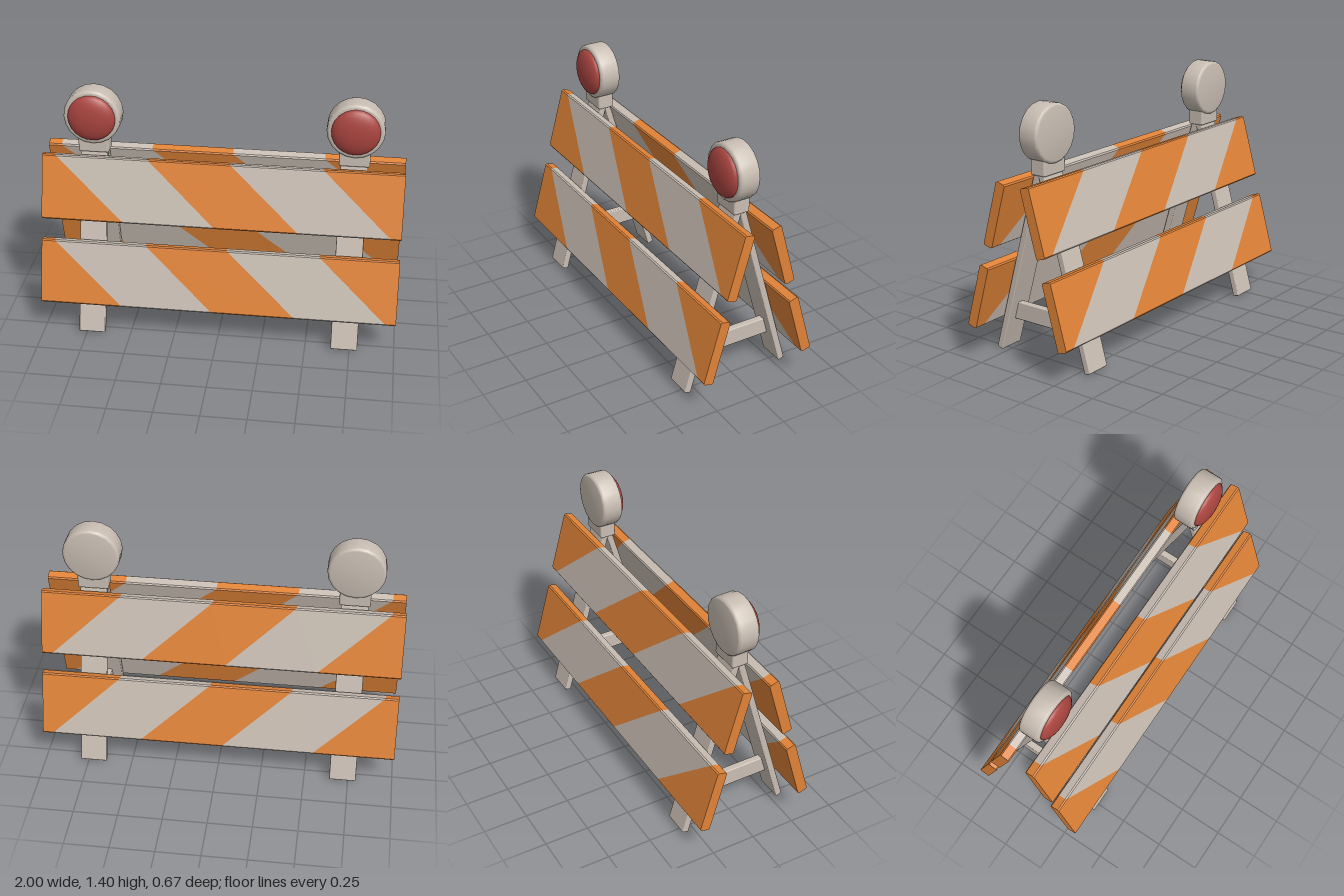
import * as THREE from 'three';
import { toCreasedNormals } from 'three/addons/utils/BufferGeometryUtils.js';
import { RoundedBoxGeometry } from 'three/addons/geometries/RoundedBoxGeometry.js';

const material = (name, color) => {
  const m = new THREE.MeshStandardMaterial({ color });
  m.name = name;
  return m;
};

const TILT = 0.276;      // lean of the legs and boards
const LEG_X = 0.72;
const BOARD_H = 0.368, BOARD_T = 0.058, BEVEL = 0.007;

// Stripe edges along a board: x at the top edge and at the bottom edge
const EDGES = [[-1, -1], [-0.926, -0.537], [-0.41, -0.025], [0.046, 0.439], [0.557, 0.946], [1, 1]];

// Board cross-section (height, depth) with small chamfers
const H = BOARD_H / 2, T = BOARD_T / 2;
const SECTION = [
  [H, T - BEVEL], [H - BEVEL, T], [-H + BEVEL, T], [-H, T - BEVEL],
  [-H, -T + BEVEL], [-H + BEVEL, -T], [H - BEVEL, -T], [H, -T + BEVEL],
];

// One slanted colour band of a board, wrapped around the cross-section
function bandGeometry(i) {
  const at = ([top, bottom], v) => THREE.MathUtils.lerp(bottom, top, (v + H) / BOARD_H);
  const pos = [];
  const n = SECTION.length;
  for (let k = 0; k < n; k++) {
    const [v0, w0] = SECTION[k], [v1, w1] = SECTION[(k + 1) % n];
    const a = [at(EDGES[i], v0), v0, w0], b = [at(EDGES[i], v1), v1, w1];
    const c = [at(EDGES[i + 1], v1), v1, w1], d = [at(EDGES[i + 1], v0), v0, w0];
    pos.push(...a, ...b, ...c, ...a, ...c, ...d);
    // End caps on the outermost bands
    if (i === 0) pos.push(-1, 0, 0, ...b, ...a);
    if (i === EDGES.length - 2) pos.push(1, 0, 0, ...d, ...c);
  }
  const g = new THREE.BufferGeometry();
  g.setAttribute('position', new THREE.Float32BufferAttribute(pos, 3));
  g.computeVertexNormals();
  return g;
}

export function createModel() {
  const orange = material('orange paint', 0xe08338);
  const grey = material('warm grey', 0xc9beb3);
  const red = material('red lens', 0xab4540);

  const model = new THREE.Group();
  model.name = 'barricade';

  const add = (parent, name, geometry, mat, x = 0, y = 0, z = 0) => {
    const mesh = new THREE.Mesh(geometry, mat);
    mesh.name = name;
    mesh.position.set(x, y, z);
    parent.add(mesh);
    return mesh;
  };

  // Striped boards, two on each face
  const bands = EDGES.slice(1).map((_, i) => bandGeometry(i));
  for (const [face, s] of [['front', 1], ['back', -1]]) {
    for (const [level, y, z] of [['Upper', 0.843, 0.1285], ['Lower', 0.373, 0.259]]) {
      const board = new THREE.Group();
      board.name = face + level + 'Board';
      board.position.set(0, y, s * z);
      board.rotation.x = -s * TILT;
      bands.forEach((g, i) => add(board, i % 2 ? 'greyStripe' : 'orangeStripe', g, i % 2 ? grey : orange));
      model.add(board);
    }
  }

  // Lamp housing profile (radius, depth) with rounded rims
  const R = 0.158, D = 0.061, r = 0.016;
  const profile = [new THREE.Vector2(0, -D)];
  for (const s of [-1, 1]) {
    for (let i = 0; i <= 3; i++) {
      const a = (s < 0 ? i - 3 : i) * Math.PI / 6;
      profile.push(new THREE.Vector2(R - r + r * Math.cos(a), s * (D - r) + r * Math.sin(a)));
    }
  }
  profile.push(new THREE.Vector2(0, D));
  const housing = toCreasedNormals(new THREE.LatheGeometry(profile, 20).rotateX(Math.PI / 2), 0.6);

  // Domed lens
  const lens = new THREE.SphereGeometry(0.133, 24, 8, 0, Math.PI * 2, 0, Math.PI / 2)
    .scale(1, 0.36, 1).rotateX(Math.PI / 2);

  const leg = new RoundedBoxGeometry(0.15, 1.07, 0.038, 2, 0.006);
  const brace = new RoundedBoxGeometry(0.04, 0.1, 0.49, 2, 0.006);
  const bracket = new RoundedBoxGeometry(0.17, 0.09, 0.094, 2, 0.01);

  // A-frame and warning lamp on each side
  for (const [side, s] of [['left', 1], ['right', -1]]) {
    const frame = new THREE.Group();
    frame.name = side + 'Frame';
    frame.position.x = s * LEG_X;
    add(frame, 'frontLeg', leg, grey, 0, 0.521, 0.158).rotation.x = -TILT;
    add(frame, 'backLeg', leg, grey, 0, 0.521, -0.158).rotation.x = TILT;
    add(frame, 'crossBrace', brace, grey, 0, 0.225, 0);
    add(frame, 'lampBracket', bracket, grey, 0, 1.071, 0);
    add(frame, 'lampHousing', housing, grey, 0, 1.242, 0.002);
    add(frame, 'lampLens', lens, red, 0, 1.242, 0.062);
    model.add(frame);
  }

  return model;
}
